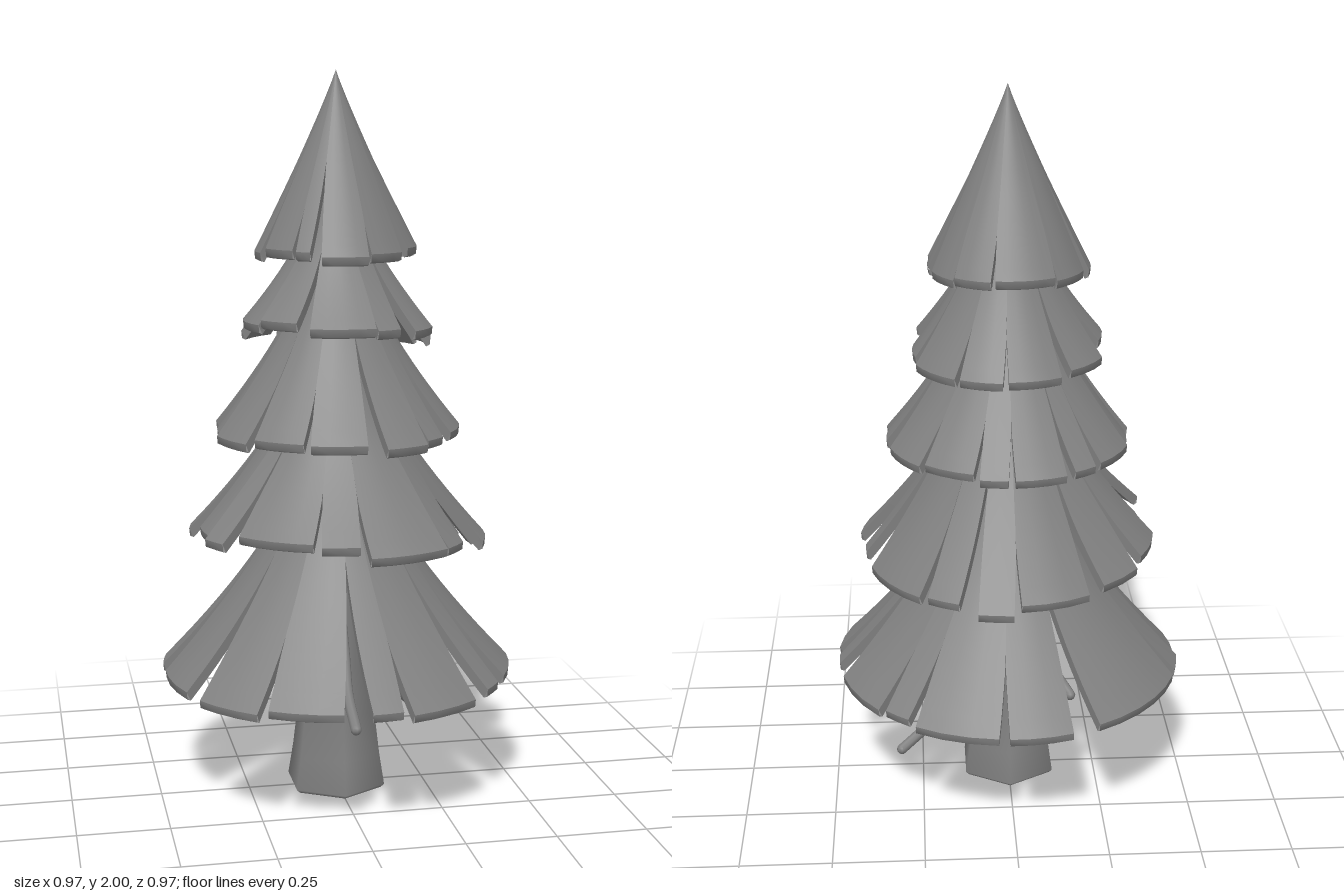
import * as THREE from 'three';
import { mergeGeometries } from 'three/addons/utils/BufferGeometryUtils.js';

const material = new THREE.MeshStandardMaterial({ color: 0x808080, side: THREE.DoubleSide });
const { lerp, degToRad } = THREE.MathUtils;

// Skirt cross-sections: top radius and height, tip radius and height, flare exponent.
// ripple varies the tip radius, tilt raises the front-left hem over the back-right one.
const skirt = (rTop, yTop, rTip, yTip, flare, ripple, tilt) => ({ rTop, yTop, rTip, yTip, flare, ripple, tilt });
const shapes = [
  skirt(0.07, 1.05, 0.485, 0.335, 1.57, 0.01, 0),
  skirt(0.06, 1.35, 0.4, 0.71, 1.57, 0.06, 0.05),
  skirt(0.05, 1.6, 0.335, 1.01, 1.57, 0.025, 0),
  skirt(0.04, 1.75, 0.26, 1.28, 1.57, 0.04, 0.04),
  skirt(0, 2, 0.215, 1.5, 1.08, 0.03, 0),
];

// Angles in degrees where each skirt is notched; 0 is +x, 90 is +z
const cuts = [
  [-9, 4, 32, 47, 78, 94, 124, 153, 184, 198, 247, 274, 305, 318],
  [-10, 4, 30, 52, 90, 108, 144, 158, 185, 212, 236, 269, 288, 308],
  [-9, 10, 38, 54, 82, 114, 143, 172, 198, 228, 243, 271, 287, 316],
  [-17, 21, 53, 76, 120, 153, 203, 237, 274, 303],
  [-12, 10, 42, 76, 115, 132, 165, 199, 237, 283, 314],
];

// Notches that are wide and deep, per skirt
const wideCuts = [[-9, 47, 94, 153, 247], [-10, 30, 52, 288], [-9, 82], [53, 120], [10, 115]];

// Half of the notch opening in degrees, at t along the skirt
function opening(wide, t) {
  const depth = wide ? 0.5 : 0.22;
  return (wide ? 4.5 : 1.7) * Math.max(0, (t - 1 + depth) / depth);
}

// Grid surface from a point function of u and v in 0..1
function sheet(nu, nv, point, flip = false) {
  const pos = [], idx = [];
  for (let j = 0; j <= nv; j++)
    for (let i = 0; i <= nu; i++) pos.push(...point(i / nu, j / nv));
  for (let j = 0; j < nv; j++)
    for (let i = 0; i < nu; i++) {
      const a = j * (nu + 1) + i, b = a + 1, c = a + nu + 1, d = c + 1;
      if (flip) idx.push(a, c, b, b, c, d);
      else idx.push(a, b, c, b, d, c);
    }
  const g = new THREE.BufferGeometry();
  g.setAttribute('position', new THREE.Float32BufferAttribute(pos, 3));
  g.setIndex(idx);
  g.computeVertexNormals();
  return g;
}

// Thick flared panel between two notches; panels share one cone above and fray apart below
function panelGeometry(shape, angles, wide, k) {
  const { rTop, yTop, rTip, yTip, flare, ripple, tilt } = shape;
  const start = angles[k], next = angles[(k + 1) % angles.length];
  const end = next > start ? next : next + 360;
  const dr = rTip * ripple * Math.sin(k * 2.4);
  const dy = tilt * Math.cos(degToRad((start + end) / 2 - 120)) + 0.008 * Math.sin(k * 1.7);
  // w runs from the outer face (0) to the inner face (1)
  const point = (u, t, w, bulge = 0) => {
    const left = start + opening(wide.includes(start), t);
    const right = end - opening(wide.includes(next), t);
    const a = degToRad(lerp(left, right, u));
    const fray = Math.max(0, 2 * t - 1);
    const r = Math.max(0, lerp(rTop, rTip, t ** flare) + dr * fray - 0.012 * w + bulge * 0.5);
    const y = lerp(yTop, yTip + 0.025, t) + dy * fray - 0.025 * w - bulge;
    return [r * Math.cos(a), y, r * Math.sin(a)];
  };
  const nu = Math.max(2, Math.round((end - start) / 10)), nt = 16;
  return mergeGeometries([
    sheet(nu, nt, (u, v) => point(u, v, 0)),
    sheet(nu, nt, (u, v) => point(u, v, 1), true),
    sheet(nu, 2, (u, v) => point(u, 1, v, 0.008 * Math.sin(Math.PI * v))),
    sheet(1, 8, (u, v) => point(0, 0.5 + v / 2, u), true),
    sheet(1, 8, (u, v) => point(1, 0.5 + v / 2, u)),
  ]);
}

function add(group, name, geometry) {
  const mesh = new THREE.Mesh(geometry, material);
  mesh.name = name;
  group.add(mesh);
}

export function createModel() {
  const tree = new THREE.Group();
  tree.name = 'pineTree';

  // Six-sided trunk with a closed, flared foot
  const trunk = [[0, 0], [0.135, 0], [0.145, 0.01], [0.13, 0.1], [0.115, 0.22], [0.107, 0.36], [0.09, 0.8], [0.03, 1.6]];
  add(tree, 'trunk', new THREE.LatheGeometry(trunk.map(p => new THREE.Vector2(...p)), 6));

  // Foliage skirts, bottom to top
  shapes.forEach((shape, i) => {
    const panels = cuts[i].map((_, k) => panelGeometry(shape, cuts[i], wideCuts[i], k));
    add(tree, `foliageTier${i + 1}`, mergeGeometries(panels));
  });

  // Bare drooping twigs under the lowest skirt
  const twigs = [
    [[0.06, 0.52, -0.03], [0.14, 0.34, -0.07], [0.22, 0.21, -0.11], [0.31, 0.14, -0.15]],
    [[0, 0.5, 0.08], [-0.01, 0.42, 0.18], [-0.02, 0.35, 0.27], [-0.02, 0.29, 0.38]],
    [[-0.05, 0.5, -0.07], [-0.09, 0.43, -0.13], [-0.13, 0.38, -0.19], [-0.16, 0.35, -0.24]],
  ];
  twigs.forEach((points, i) => {
    const curve = new THREE.CatmullRomCurve3(points.map(p => new THREE.Vector3(...p)));
    add(tree, `twig${i + 1}`, new THREE.TubeGeometry(curve, 12, 0.015, 8));
    const tip = new THREE.SphereGeometry(0.015, 8, 6);
    tip.translate(...points[3]);
    add(tree, `twigTip${i + 1}`, tip);
  });
  return tree;
}
